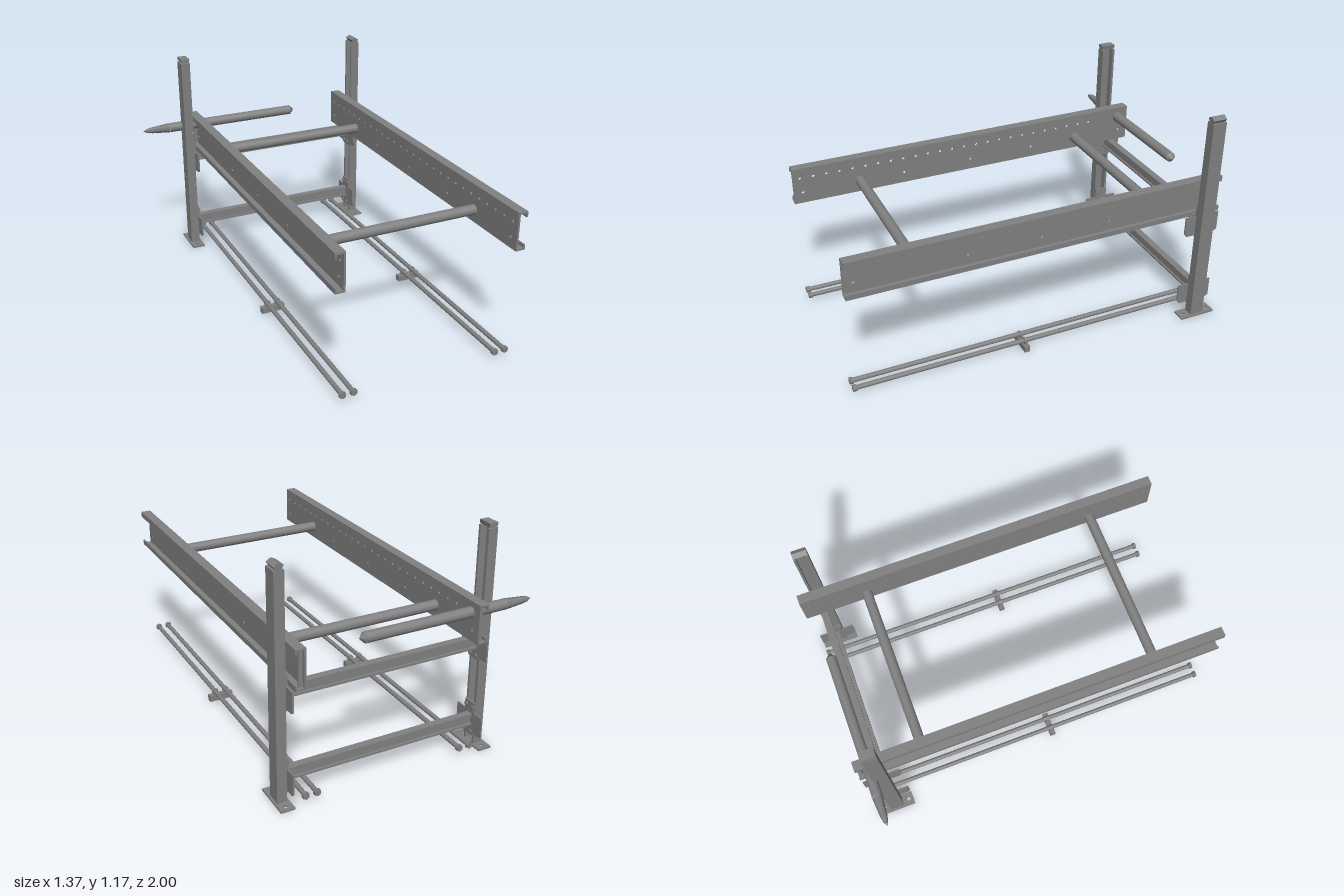
import * as THREE from 'three';

export function createModel() {
  const root = new THREE.Group();
  const steel = new THREE.MeshStandardMaterial({ color: 0x808080 });
  steel.name = 'steel grey';

  const add = (name, geo, x = 0, y = 0, z = 0, parent = root) => {
    const m = new THREE.Mesh(geo, steel);
    m.name = name;
    m.position.set(x, y, z);
    parent.add(m);
    return m;
  };
  // box given by its limits on each axis
  const box = (name, x0, x1, y0, y1, z0, z1, parent = root) =>
    add(name, new THREE.BoxGeometry(Math.abs(x1 - x0), y1 - y0, z1 - z0),
      (x0 + x1) / 2, (y0 + y1) / 2, (z0 + z1) / 2, parent);
  const rodX = (r, len, seg = 24) => new THREE.CylinderGeometry(r, r, len, seg).rotateZ(Math.PI / 2);
  const rodZ = (r, len, seg = 16) => new THREE.CylinderGeometry(r, r, len, seg).rotateX(Math.PI / 2);
  const poly = pts => new THREE.Shape(pts.map(p => new THREE.Vector2(p[0], p[1])));
  // shape drawn in z and y, centred thickness along x
  const sheet = (shape, t) => new THREE.ExtrudeGeometry(shape, { depth: t, bevelEnabled: false, curveSegments: 6 })
    .translate(0, 0, -t / 2).rotateY(-Math.PI / 2);
  const hole = (shape, x, y, r) => {
    const p = new THREE.Path();
    p.absarc(x, y, r, 0, Math.PI * 2, true);
    shape.holes.push(p);
  };

  // Lipped channel rails, open to the outside, with a punched web
  for (const [side, inner] of [[-1, -0.335], [1, 0.56]]) {
    const rail = new THREE.Group();
    rail.name = side > 0 ? 'leftRail' : 'rightRail';
    root.add(rail);
    const outer = inner + side * 0.052;
    const web = poly([[-1, 0.6], [1, 0.6], [1, 0.8], [-1, 0.8]]);
    for (let i = 0; i < 28; i++) hole(web, -0.96 + i * 0.0711, 0.743, 0.008);
    for (const z of [-0.95, -0.375, 0, 0.39, 0.95]) hole(web, z, 0.658, 0.008);
    add('railWeb', sheet(web, 0.01), inner + side * 0.005, 0, 0, rail);
    box('topFlange', inner, outer, 0.79, 0.8, -1, 1, rail);
    box('bottomFlange', inner, outer, 0.6, 0.61, -1, 1, rail);
    box('topLip', outer - side * 0.008, outer, 0.77, 0.8, -1, 1, rail);
    box('bottomLip', outer - side * 0.008, outer, 0.6, 0.627, -1, 1, rail);
    // stiffener near the back end
    box('railEndStiffener', inner, inner + side * 0.03, 0.6, 0.8, -0.985, -0.975, rail);
  }

  // Round tubes joining the rails
  for (const z of [-0.65, 0.64])
    add('crossTube', rodX(0.027, 0.9), 0.1125, 0.668, z);

  // Back posts: channels open inwards, with feet, caps and connection plates
  for (const [side, cx] of [[-1, -0.43], [1, 0.65]]) {
    const post = new THREE.Group();
    post.name = side > 0 ? 'leftPost' : 'rightPost';
    post.position.set(cx, 0, -0.895);
    root.add(post);
    const o = side * 0.025, w = side * 0.012, h = 0.038, f = 0.026;
    const profile = poly([[o, -h], [o, h], [-o, h], [-o, f], [w, f], [w, -f], [-o, -f], [-o, -h]]);
    add('postChannel', new THREE.ExtrudeGeometry(profile, { depth: 1.13, bevelEnabled: false })
      .rotateX(-Math.PI / 2), 0, 0.01, 0, post);

    // small wedge cap
    const wedge = side < 0
      ? poly([[-0.012, 1.14], [0.02, 1.145], [0.024, 1.166], [-0.024, 1.166], [-0.024, 1.15]])
      : poly([[-0.012, 1.14], [0.012, 1.14], [0.024, 1.157], [0, 1.172], [-0.024, 1.16]]);
    add('postCap', new THREE.ExtrudeGeometry(wedge, { depth: 0.074, bevelEnabled: false }), 0, 0, -0.037, post);

    // foot plate with bolt holes
    const foot = poly([[-0.036, -0.1], [0.036, -0.1], [0.036, 0.1], [-0.036, 0.1]]);
    for (const z of [-0.072, 0.072]) hole(foot, 0, z, 0.011);
    add('footPlate', new THREE.ExtrudeGeometry(foot, { depth: 0.01, bevelEnabled: false, curveSegments: 8 })
      .rotateX(-Math.PI / 2), 0, 0, 0, post);

    for (const y of [0.125, 0.545]) {
      const plate = poly([[-0.098, -0.05], [-0.085, -0.058], [0.085, -0.058], [0.098, -0.04],
        [0.098, 0.055], [-0.098, 0.055]]);
      add('connectionPlate', sheet(plate, 0.008), -side * 0.029, y, 0, post);
      box('connectionCleat', -side * 0.025, -side * 0.034, y - 0.07, y + 0.11, -0.036, 0.036, post);
      for (const dy of [-0.05, 0.085]) for (const z of [-0.022, 0.022])
        add('bolt', rodX(0.011, 0.016, 6), -side * 0.034, y + dy, z, post);
    }
  }

  // Back crossbeams with I section
  for (const y of [0.11, 0.533]) {
    const beam = new THREE.Group();
    beam.name = 'backCrossbeam';
    root.add(beam);
    box('beamWeb', -0.4, 0.62, y, y + 0.062, -0.91, -0.894, beam);
    box('beamBottomFlange', -0.4, 0.62, y, y + 0.011, -0.922, -0.884, beam);
    box('beamTopFlange', -0.4, 0.62, y + 0.051, y + 0.063, -0.922, -0.884, beam);
  }

  // Loose bar: round shank, short tip at one end, tapered point at the other
  const bar = new THREE.Group();
  bar.name = 'pointedBar';
  bar.position.set(0, 0.745, -0.935);
  root.add(bar);
  const turned = (pts, seg) => new THREE.LatheGeometry(pts.map(p => new THREE.Vector2(p[0], p[1])), seg)
    .rotateZ(-Math.PI / 2);
  add('barShank', turned([[0.027, -0.53], [0.027, 0.24]], 24), 0, 0, 0, bar);
  add('barShortTip', turned([[0.027, 0.24], [0.018, 0.25], [0, 0.268]], 12), 0, 0, 0, bar);
  add('barLongPoint', turned([[0, -0.684], [0.013, -0.66], [0.018, -0.63], [0.027, -0.53]], 6), 0, 0, 0, bar);

  // Pairs of long ground rods on a sleeper block
  for (const cx of [-0.309, 0.529]) {
    const pair = new THREE.Group();
    pair.name = 'groundRodPair';
    pair.position.x = cx;
    root.add(pair);
    box('sleeperBlock', -0.065, 0.065, 0, 0.033, 0.065, 0.095, pair);
    for (const x of [-0.029, 0.029]) {
      add('groundRod', rodZ(0.012, 1.99), x, 0.05, 0, pair);
      for (const z of [-0.985, 0.985])
        add('rodNut', rodZ(0.018, 0.018, 6), x, 0.05, z, pair);
      // clip holding the rod on the block
      add('rodClip', rodZ(0.017, 0.012, 12), x, 0.05, 0.08, pair);
      box('clipFoot', x - 0.012, x + 0.012, 0.03, 0.045, 0.074, 0.086, pair);
    }
  }
  return root;
}
